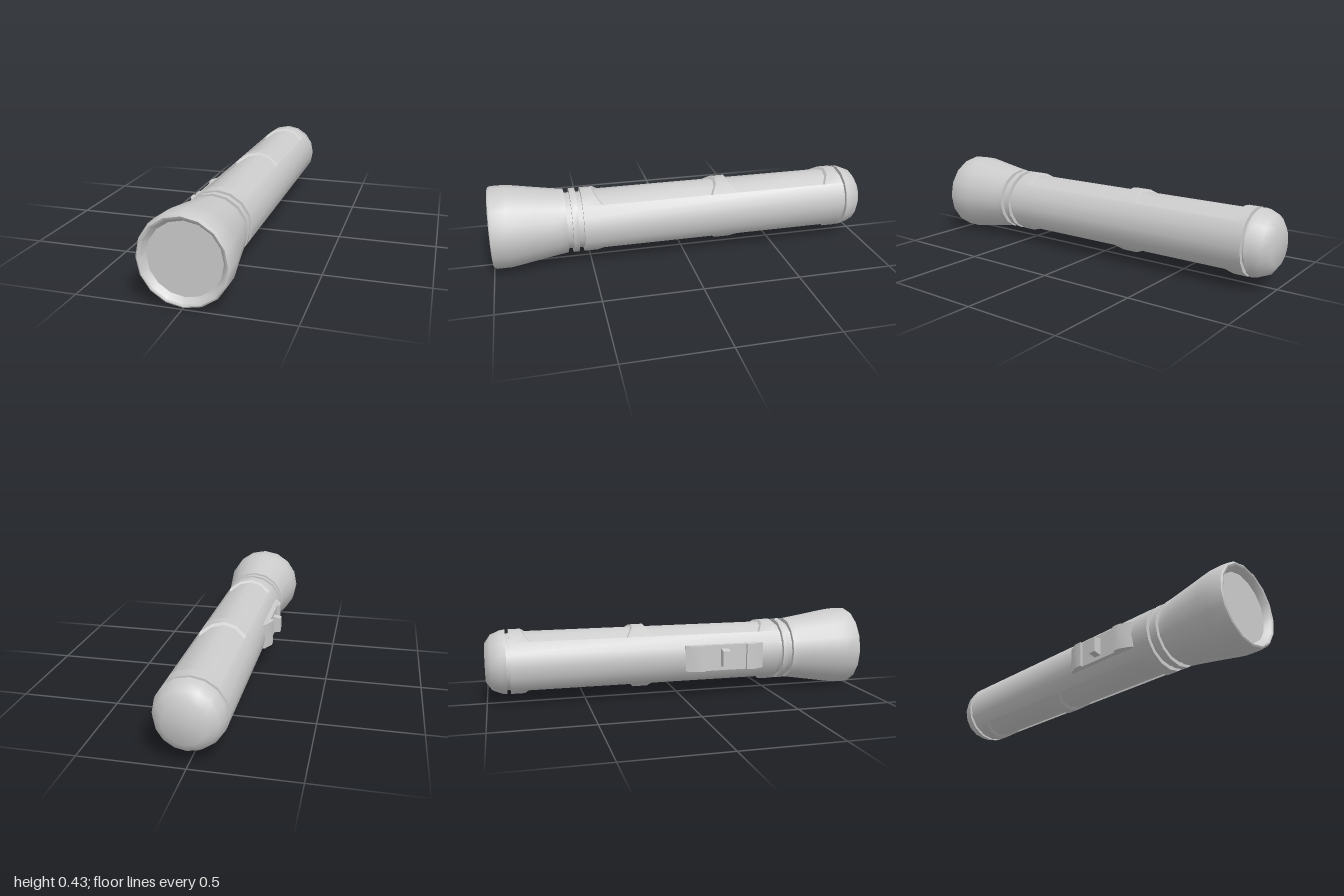
import * as THREE from 'three';
import { toCreasedNormals } from 'three/addons/utils/BufferGeometryUtils.js';

const SIDES = 16, R = 0.168, STEP = (Math.PI * 2) / SIDES;
const BACK = -0.88, FRONT = 0.535;
const material = new THREE.MeshStandardMaterial({ color: 0xcccccc });

function addMesh(group, name, geometry) {
  const mesh = new THREE.Mesh(toCreasedNormals(geometry, 0.62), material);
  mesh.name = name;
  group.add(mesh);
  return mesh;
}

// Sixteen-sided turned part along z; profile is [radius, z] in rising z on the outside
function turned(profile) {
  const points = profile.map(([r, z]) => new THREE.Vector2(r, z));
  return new THREE.LatheGeometry(points, SIDES).rotateX(Math.PI / 2);
}

// Barrel shell with two sunken grip panels on the top and two on the bottom
function barrelGeometry() {
  const positions = [];
  const quad = (a, b, c, d) => [a, b, c, a, c, d].forEach((p) => positions.push(...p));
  const panels = [[-0.78, -0.285], [-0.145, 0.435]]; // z range at the panel's side edge
  const edgeHeight = R * Math.SQRT1_2;

  for (const s of [1, -1]) {
    // Cross-section points, counted in steps from the top (or bottom)
    const outer = (i) => [R * Math.sin(i * STEP), R * Math.cos(i * STEP)];
    const inner = (i) => Math.abs(i) === 2
      ? [Math.sign(i) * edgeHeight, 0.103]
      : [0.155 * Math.sin(i * STEP), 0.155 * Math.cos(i * STEP)];
    const at = ([x, y], z) => [s * x, s * y, z];
    // Panel ends are slanted planes, so their z depends on the height
    const end = (p, z, dir) => at(p, z + dir * (p[1] - edgeHeight) * 0.85);

    for (let i = -4; i < 4; i++) {
      const o0 = outer(i), o1 = outer(i + 1);
      if (i < -2 || i > 1) {
        quad(at(o0, BACK), at(o0, FRONT), at(o1, FRONT), at(o1, BACK));
        continue;
      }
      const n0 = inner(i), n1 = inner(i + 1);
      let low0 = at(o0, BACK), low1 = at(o1, BACK);
      for (const [a, b] of panels) {
        const oa0 = end(o0, a, -1), oa1 = end(o1, a, -1);
        const ob0 = end(o0, b, 1), ob1 = end(o1, b, 1);
        const na0 = end(n0, a, -1), na1 = end(n1, a, -1);
        const nb0 = end(n0, b, 1), nb1 = end(n1, b, 1);
        quad(low0, oa0, oa1, low1);  // skin before the panel
        quad(na0, nb0, nb1, na1);    // panel floor
        quad(na0, na1, oa1, oa0);    // rear slope
        quad(nb1, nb0, ob0, ob1);    // front slope
        if (i === -2) quad(nb0, na0, oa0, ob0); // side walls
        if (i === 1) quad(na1, nb1, ob1, oa1);
        low0 = ob0;
        low1 = ob1;
      }
      quad(low0, at(o0, FRONT), at(o1, FRONT), low1);
    }
  }
  const geometry = new THREE.BufferGeometry();
  geometry.setAttribute('position', new THREE.Float32BufferAttribute(positions, 3));
  return geometry;
}

// Switch plate outline in x and z, extruded along y
function switchPlateGeometry() {
  const outline = [
    [-0.14, 0.01], [-0.166, 0.01], [-0.195, 0.07], [-0.195, 0.11], [-0.18, 0.11],
    [-0.18, 0.34], [-0.195, 0.34], [-0.195, 0.38], [-0.166, 0.44], [-0.14, 0.44],
  ];
  const shape = new THREE.Shape(outline.map(([x, z]) => new THREE.Vector2(x, -z)));
  return new THREE.ExtrudeGeometry(shape, { depth: 0.136, bevelEnabled: false })
    .translate(0, 0, -0.068)
    .rotateX(-Math.PI / 2);
}

// Button block, slightly narrower at its outer face
function buttonGeometry() {
  const geometry = new THREE.BoxGeometry(0.06, 0.09, 0.04);
  const pos = geometry.attributes.position;
  for (let i = 0; i < pos.count; i++) {
    if (pos.getX(i) < 0) pos.setY(i, pos.getY(i) * 0.88);
    else pos.setY(i, pos.getY(i) * 1.15);
  }
  return geometry.translate(-0.191, 0, 0.22);
}

export function createModel() {
  const group = new THREE.Group();
  group.name = 'flashlight';

  addMesh(group, 'barrel', barrelGeometry());
  addMesh(group, 'barrelRearRim', turned([[0.14, BACK], [R, BACK]]));
  addMesh(group, 'barrelFrontRim', turned([[R, FRONT], [0.14, FRONT]]));

  // Inner core seen at the bottom of the grooves
  addMesh(group, 'core', turned([[0.147, -0.91], [0.147, 0.63]]));
  addMesh(group, 'neckRing', turned([[0.14, 0.562], [R, 0.562], [R, 0.592], [0.14, 0.592]]));

  // Rounded tail cap
  addMesh(group, 'tailCap', turned([
    [0, -1], [0.1, -1], [0.143, -0.97], [0.163, -0.925], [R, -0.897], [0.14, -0.897],
  ]));

  // Flared head with a rounded lip
  addMesh(group, 'head', turned([
    [0.14, 0.62], [R, 0.62], [0.173, 0.66], [0.192, 0.78], [0.207, 0.87], [0.213, 0.91],
    [0.213, 0.983], [0.208, 0.996], [0.201, 1], [0.191, 0.996], [0.171, 0.965],
  ]));
  addMesh(group, 'lens', turned([[0.172, 0.967], [0, 0.967]]));

  // Side switch
  addMesh(group, 'switchPlate', switchPlateGeometry());
  addMesh(group, 'switchButton', buttonGeometry());

  group.children.forEach((part) => part.position.set(0.004, 0.213, 0));
  return group;
}
